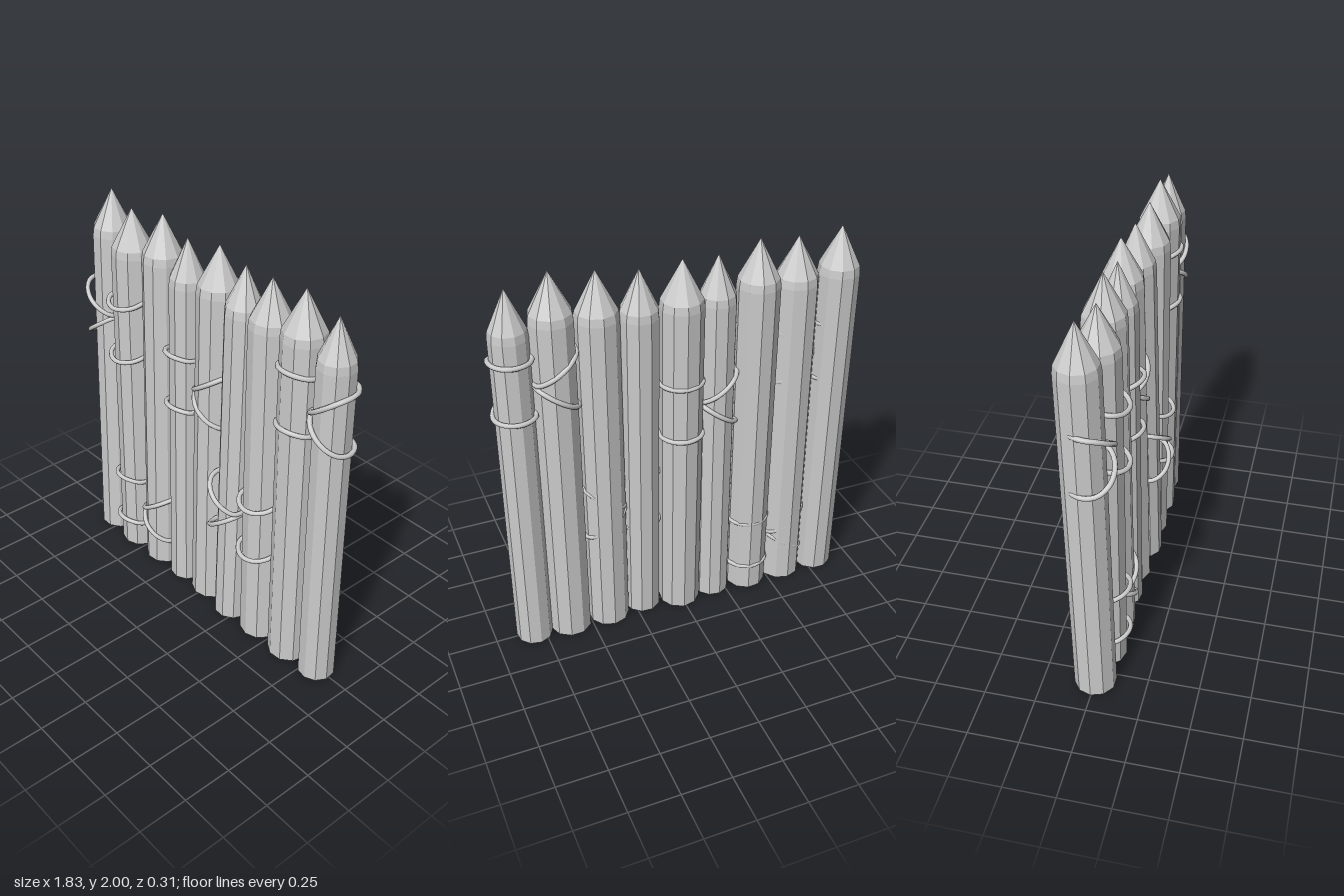
import * as THREE from 'three';

const wood = new THREE.MeshStandardMaterial({ color: 0xcccccc, flatShading: true });
const ropeMaterial = new THREE.MeshStandardMaterial({ color: 0xcccccc });

// Posts: x, radius, height, z at the foot, z at the tip
const POSTS = [
  [-0.805, 0.102, 2.0, 0, -0.05],
  [-0.6, 0.107, 1.97, 0, -0.015],
  [-0.39, 0.105, 2.0, -0.005, -0.04],
  [-0.19, 0.092, 1.95, 0, -0.025],
  [0.0, 0.106, 1.97, -0.01, -0.055],
  [0.2, 0.095, 1.95, 0.02, -0.035],
  [0.395, 0.105, 1.97, 0, -0.01],
  [0.605, 0.107, 2.0, 0, -0.003],
  [0.8, 0.092, 1.95, 0, 0],
];

// Lashings: crossed post, banded post, height, half spread, loop centre z and radius for each
const LASHINGS = [
  [0, 1, 1.36, 0.15, 0.0, 0.105, 0.015, 0.108],
  [2, 1, 0.285, 0.14, 0.0, 0.105, 0.015, 0.108],
  [4, 3, 1.2, 0.145, -0.035, 0.106, -0.008, 0.103],
  [5, 6, 0.685, 0.145, 0.042, 0.102, 0.018, 0.108],
  [8, 7, 1.465, 0.145, 0.0, 0.1, 0.0, 0.108],
];

// Sharpened ten-sided stake with a small bevel under the point
function makePost([x, r, height, zFoot, zTip], i) {
  const profile = [
    [0, 0], [r, 0], [r, height - 0.235], [r * 0.95, height - 0.195], [0, height],
  ].map(([a, b]) => new THREE.Vector2(a, b));
  const geometry = new THREE.LatheGeometry(profile, 10);
  geometry.rotateY(0.3 + i * 0.37);
  const post = new THREE.Mesh(geometry, wood);
  const lean = Math.atan2(zTip - zFoot, height);
  post.rotation.x = lean;
  post.position.set(x, Math.abs(Math.sin(lean)) * r, zFoot);
  post.name = `post${i + 1}`;
  return post;
}

// Figure-eight rope loop round two neighbouring posts; up = 1 or -1
function makeLoop([a, b, y0, spread, az, ar, bz, br], up) {
  const ax = POSTS[a][0], bx = POSTS[b][0];
  const side = Math.sign(bx - ax);
  const points = [];
  const steps = 12;
  // Crossed post: rises over the front, runs level behind
  for (let i = 1; i < steps; i++) {
    const t = (i / steps) * Math.PI * 2;
    const rise = t < Math.PI ? (1 - Math.cos(t)) / 2 : 1;
    points.push(new THREE.Vector3(
      ax + side * ar * Math.cos(t), y0 + up * spread * rise, az + ar * Math.sin(t)));
  }
  // Banded post: sags or bows over the front, slants back behind
  for (let i = 1; i < steps; i++) {
    const t = (i / steps) * Math.PI * 2;
    const rise = t < Math.PI ? 1 : (1 - Math.cos(t)) / 2;
    const bow = t < Math.PI ? -side * 0.03 * Math.sin(t) : 0;
    points.push(new THREE.Vector3(
      bx - side * br * Math.cos(t), y0 + up * spread * rise + bow, bz + br * Math.sin(t)));
  }
  const curve = new THREE.CatmullRomCurve3(points, true);
  return new THREE.Mesh(new THREE.TubeGeometry(curve, 96, 0.012, 8, true), ropeMaterial);
}

export function createModel() {
  const fence = new THREE.Group();
  fence.name = 'palisade';

  POSTS.forEach((spec, i) => fence.add(makePost(spec, i)));

  LASHINGS.forEach((spec, i) => {
    const lashing = new THREE.Group();
    lashing.name = `ropeLashing${i + 1}`;
    for (const up of [1, -1]) {
      const loop = makeLoop(spec, up);
      loop.name = up > 0 ? 'upperLoop' : 'lowerLoop';
      lashing.add(loop);
    }
    fence.add(lashing);
  });

  return fence;
}
